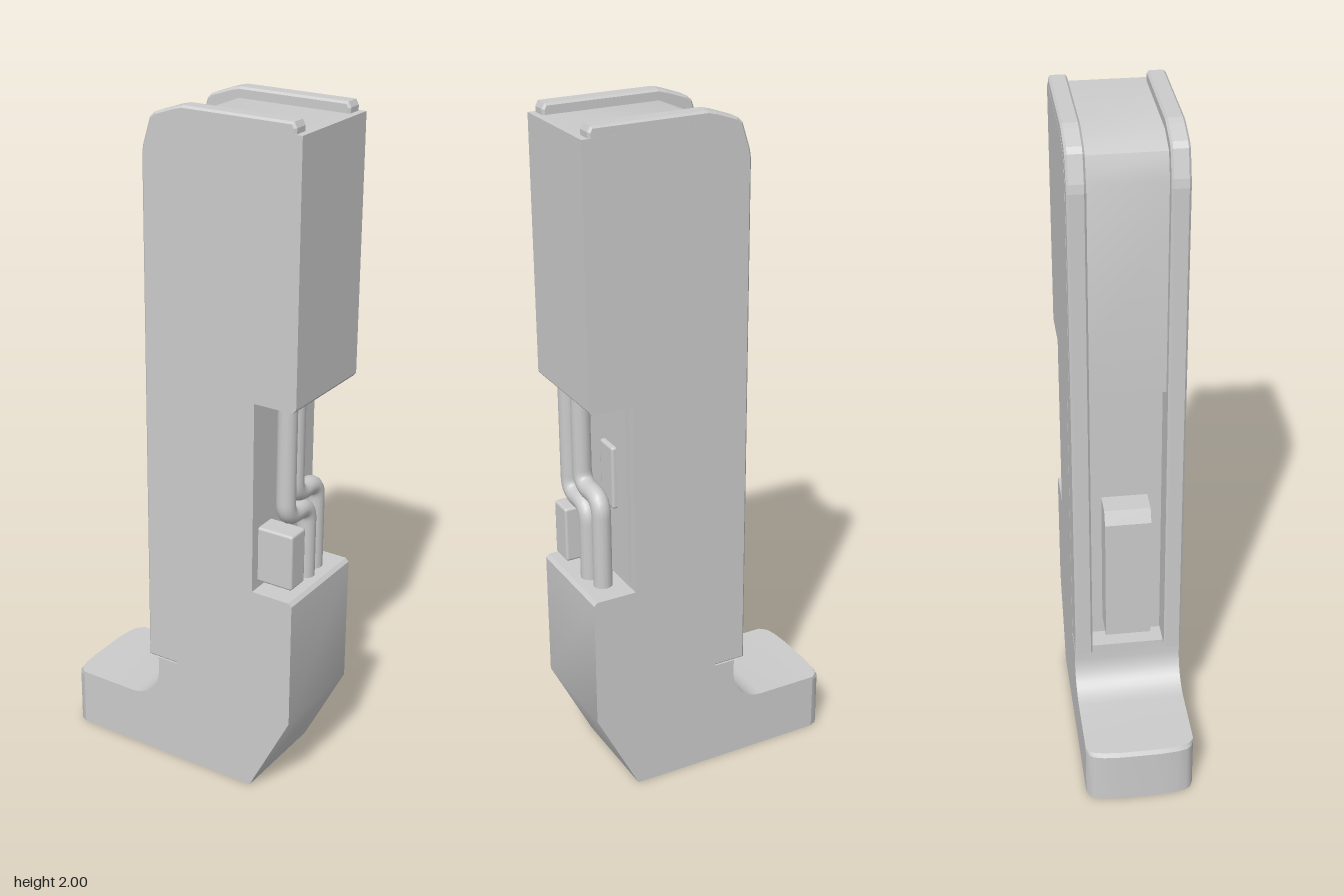
import * as THREE from 'three';
import { toCreasedNormals } from 'three/addons/utils/BufferGeometryUtils.js';
import { RoundedBoxGeometry } from 'three/addons/geometries/RoundedBoxGeometry.js';

const HALF = 0.162; // half the width of the body
const mat = new THREE.MeshStandardMaterial({ color: 0xcccccc, side: THREE.DoubleSide });

export function createModel() {
  const group = new THREE.Group();
  const add = (name, geo, x = 0, y = 0, z = 0) => {
    const mesh = new THREE.Mesh(geo, mat);
    mesh.name = name;
    mesh.position.set(x, y, z);
    group.add(mesh);
    return mesh;
  };

  // Quad strip between two matching rows of points
  const strip = (a, b) => {
    const pos = [];
    for (let i = 0; i < a.length - 1; i++) {
      for (const p of [a[i], a[i + 1], b[i + 1], a[i], b[i + 1], b[i]]) pos.push(...p);
    }
    const g = new THREE.BufferGeometry();
    g.setAttribute('position', new THREE.Float32BufferAttribute(pos, 3));
    g.computeVertexNormals();
    return toCreasedNormals(g, 0.6);
  };

  // Body outline from the heel, up the back, over the top and down to the toe
  const outline = [
    [0.26, 0], [0.39, 0.26], [0.39, 0.645], [0.38, 0.655], [0.26, 0.655],
    [0.26, 1.228], [0.38, 1.228], [0.39, 1.24], [0.39, 1.97],
    [0.03, 1.97], [-0.042, 1.94], [-0.065, 1.87], [-0.065, 1.23],
    [0, 1.23], [0, 0.33], [-0.065, 0.33], [-0.065, 0.28],
  ];
  for (let i = 1; i <= 8; i++) { // instep fillet
    const t = (i / 8) * Math.PI / 2;
    outline.push([-0.165 + 0.1 * Math.cos(t), 0.28 - 0.1 * Math.sin(t)]);
  }
  outline.push([-0.35, 0.18]);
  add('bodyShell', strip(
    outline.map(([x, y]) => [x, y, HALF]),
    outline.map(([x, y]) => [x, y, -HALF]),
  ));

  // Flat side walls; the underside stays open
  const sideShape = new THREE.Shape([...outline, [-0.35, 0]].map(p => new THREE.Vector2(...p)));
  const right = new THREE.ShapeGeometry(sideShape);
  add('leftSideWall', right, 0, 0, HALF);
  add('rightSideWall', right.clone().rotateY(Math.PI).scale(-1, 1, 1).scale(1, 1, 1), 0, 0, -HALF);

  // Rounded toe end: plan curve raised into a wall, with a lid
  const plan = [[-0.35, HALF], [-0.37, 0.153], [-0.38, 0.14], [-0.387, 0.11], [-0.391, 0.06]];
  const toe = [...plan, ...plan.map(([x, z]) => [x, -z]).reverse()];
  const inset = ([x, z]) => [x + 0.008 * (x < -0.36), z];
  add('toeWall', strip(toe.map(([x, z]) => [x, 0, z]), toe.map(([x, z]) => [x, 0.168, z])));
  add('toeEdge', strip(toe.map(([x, z]) => [x, 0.168, z]), toe.map(p => [inset(p)[0], 0.18, p[1]])));
  const lid = new THREE.Shape(toe.map(p => new THREE.Vector2(inset(p)[0], -p[1])));
  add('toeLid', new THREE.ShapeGeometry(lid).rotateX(-Math.PI / 2), 0, 0.18, 0);

  // Pair of guide rails down the channel edges and over the top
  const rail = new THREE.Shape([
    [-0.1, 0.33], [0.02, 0.33], [0.02, 1.85], [0.06, 1.9], [0.37, 1.9], [0.37, 1.985],
    [0.362, 2], [0.03, 2], [0.005, 1.994], [-0.058, 1.972], [-0.073, 1.958], [-0.096, 1.885], [-0.1, 1.86],
  ].map(p => new THREE.Vector2(...p)));
  const railGeo = new THREE.ExtrudeGeometry(rail, {
    depth: 0.04, bevelThickness: 0.006, bevelSize: 0.006, bevelOffset: -0.006, bevelSegments: 1,
  });
  add('leftRail', railGeo, 0, 0, HALF - 0.0465);
  add('rightRail', railGeo, 0, 0, -HALF + 0.0065);

  // Block in the front channel, with a sloping top
  const block = new THREE.Shape([
    [0, 0.39], [-0.09, 0.39], [-0.09, 0.8], [-0.07, 0.84], [0, 0.84],
  ].map(p => new THREE.Vector2(...p)));
  add('channelBlock', new THREE.ExtrudeGeometry(block, { depth: 0.136, bevelEnabled: false }), 0, 0, -0.068);

  // Equipment in the back notch
  add('backPanel', new THREE.BoxGeometry(0.02, 0.54, 0.14), 0.26, 0.95, -0.068);
  add('largeBox', new RoundedBoxGeometry(0.12, 0.17, 0.074, 2, 0.008), 0.31, 0.76, 0.095);
  add('smallBox', new RoundedBoxGeometry(0.04, 0.19, 0.078, 2, 0.008), 0.264, 0.98, -0.038);

  // Two pipes, each with an S-bend made of rounded corners
  const pipe = (name, x, y, z0, z1) => {
    const v = (py, z) => new THREE.Vector3(x, py, z);
    const r = 0.05;
    const dz = Math.sign(z1 - z0) * r;
    const path = new THREE.CurvePath();
    path.add(new THREE.LineCurve3(v(1.23, z0), v(y + r, z0)));
    path.add(new THREE.QuadraticBezierCurve3(v(y + r, z0), v(y, z0), v(y, z0 + dz)));
    path.add(new THREE.LineCurve3(v(y, z0 + dz), v(y, z1 - dz)));
    path.add(new THREE.QuadraticBezierCurve3(v(y, z1 - dz), v(y, z1), v(y - r, z1)));
    path.add(new THREE.LineCurve3(v(y - r, z1), v(0.65, z1)));
    add(name, new THREE.TubeGeometry(path, 64, 0.028, 14));
  };
  pipe('outerPipe', 0.33, 0.88, 0.103, -0.013);
  pipe('innerPipe', 0.32, 0.925, 0.043, -0.075);

  return group;
}
